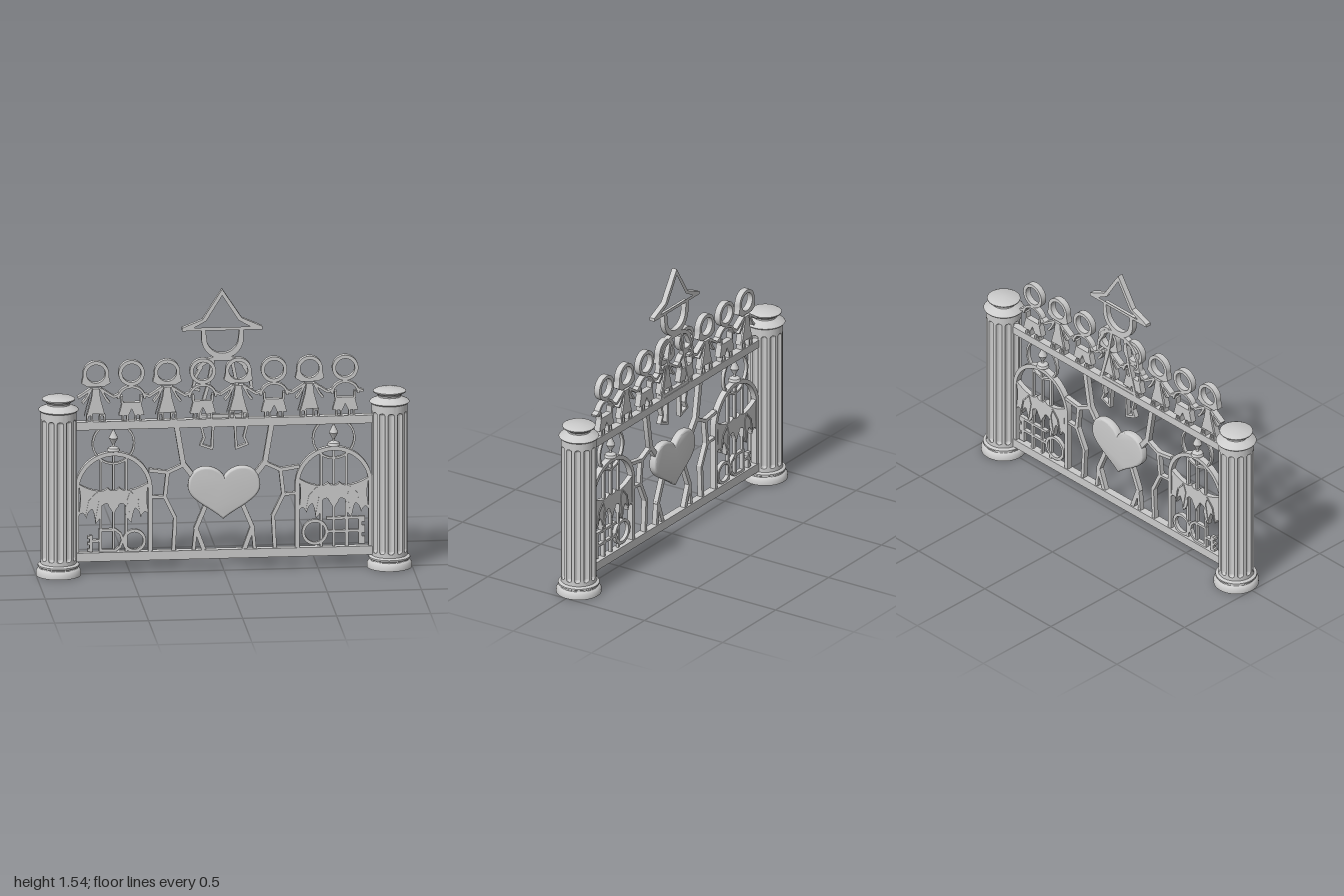
import * as THREE from 'three';
import { toCreasedNormals } from 'three/addons/utils/BufferGeometryUtils.js';

// Flat ironwork is laid out in hundredths of a unit
const MAT = new THREE.MeshStandardMaterial({ color: 0xcccccc });
const U = 0.01;
const vecs = (pts) => pts.map(([x, y]) => new THREE.Vector2(x * U, y * U));
const mirrorX = (pts) => pts.map(([x, y]) => [-x, y]);
const arc = (cx, cy, rx, ry, a0, a1, n = 32) =>
  Array.from({ length: n + 1 }, (_, i) => {
    const a = ((a0 + ((a1 - a0) * i) / n) * Math.PI) / 180;
    return [cx + rx * Math.cos(a), cy + ry * Math.sin(a)];
  });

function addMesh(parent, name, geo) {
  const mesh = new THREE.Mesh(geo, MAT);
  mesh.name = name;
  parent.add(mesh);
  return mesh;
}

// Cut-out plate between z0 and z1
function plate(parent, name, outer, holes = [], z0 = -0.019, z1 = 0.015) {
  const shape = new THREE.Shape(vecs(outer));
  holes.forEach((h) => shape.holes.push(new THREE.Path(vecs(h))));
  const geo = new THREE.ExtrudeGeometry(shape, { depth: z1 - z0, bevelEnabled: false });
  geo.translate(0, 0, z0);
  return addMesh(parent, name, toCreasedNormals(geo, 0.5));
}

// Mitred offset of a polyline
function offset(pts, d, closed) {
  const n = pts.length;
  return pts.map((p, i) => {
    const a = closed ? pts[(i + n - 1) % n] : pts[Math.max(i - 1, 0)];
    const b = closed ? pts[(i + 1) % n] : pts[Math.min(i + 1, n - 1)];
    const normal = (s, e) => new THREE.Vector2(s[1] - e[1], e[0] - s[0]).normalize();
    const n1 = normal(a, p), n2 = normal(p, b);
    const m = n1.clone().add(n2).normalize();
    const k = d / Math.max(0.5, m.dot(n1.lengthSq() ? n1 : n2));
    return [p[0] + m.x * k, p[1] + m.y * k];
  });
}

// Bar of width w along an open path, or a closed frame
function bar(parent, name, pts, w, z0, z1) {
  return plate(parent, name, [...offset(pts, w / 2), ...offset(pts, -w / 2).reverse()], [], z0, z1);
}
function frame(parent, name, pts, w, z0, z1) {
  return plate(parent, name, offset(pts, -w / 2, true), [offset(pts, w / 2, true)], z0, z1);
}
function ring(parent, name, cx, cy, r, w, z0, z1) {
  return frame(parent, name, arc(cx, cy, r, r, 0, 360, 40).slice(0, -1), w, z0, z1);
}

const lathe = (pts, n = 48) =>
  toCreasedNormals(new THREE.LatheGeometry(pts.map(([r, y]) => new THREE.Vector2(r, y)), n), 0.7);

function column(x) {
  const g = new THREE.Group();
  g.name = 'column';
  g.position.x = x;
  addMesh(g, 'columnBase', lathe([[0, 0], [0.12, 0], [0.12, 0.022], [0.112, 0.034], [0.104, 0.04],
    [0.104, 0.046], [0.11, 0.05], [0.11, 0.058], [0.098, 0.066], [0.09, 0.066]]));
  addMesh(g, 'columnCapital', lathe([[0.09, 0.893], [0.1, 0.897], [0.107, 0.904], [0.1, 0.912], [0.075, 0.923],
    [0.062, 0.932], [0.062, 0.94], [0.075, 0.95], [0.086, 0.956], [0.088, 0.963], [0.075, 0.97], [0, 0.972]]));
  // Shaft with twelve round-ended flutes
  const geo = new THREE.CylinderGeometry(0.095, 0.095, 1, 144, 24, true);
  const p = geo.attributes.position;
  const half = 0.016, y0 = 0.085, y1 = 0.855, step = Math.PI / 6;
  const rows = [0.06, 0.08];
  for (let i = 0; i <= 9; i++) rows.push(y0 + 0.02 * (i / 9) ** 2);
  rows.push(0.47);
  for (let i = 9; i >= 0; i--) rows.push(y1 - 0.02 * (i / 9) ** 2);
  rows.push(0.87, 0.9);
  for (let i = 0; i < p.count; i++) {
    const y = rows[Math.round((p.getY(i) + 0.5) * 24)];
    const a = Math.atan2(p.getX(i), p.getZ(i));
    const s = (a - step / 2 - step * Math.round((a - step / 2) / step)) * 0.095;
    const end = Math.max(0, y0 + half - y, y - (y1 - half));
    const r = 0.095 - 0.85 * Math.sqrt(Math.max(0, half * half - s * s - end * end));
    p.setXYZ(i, r * Math.sin(a), y, r * Math.cos(a));
  }
  geo.computeVertexNormals();
  addMesh(g, 'flutedShaft', toCreasedNormals(geo, 0.6)).rotation.y = step / 2;
  return g;
}

// Paper-doll child: even ones wear a dress, odd ones shorts
function child(x, isGirl) {
  const g = new THREE.Group();
  g.name = isGirl ? 'girlFigure' : 'boyFigure';
  g.position.x = x;
  const head = [0, 109.5];
  if (isGirl) {
    plate(g, 'headWithHair', [...arc(...head, 6.9, 6.9, -10, 190), [-7.7, 104.5], [-4.5, 102.6], [4.5, 102.6], [7.7, 104.5]],
      [arc(...head, 5, 5, 0, 360).slice(1)]);
    frame(g, 'dress', [[-2.2, 102], [2.2, 102], [3, 96], [5.4, 87], [-5.4, 87], [-3, 96]], 1.2);
  } else {
    ring(g, 'head', ...head, 6, 1.9);
    plate(g, 'shorts', [[-5, 93.5], [5, 93.5], [6.8, 86.5], [1.6, 86.5], [0, 90], [-1.6, 86.5], [-6.8, 86.5]]);
    bar(g, 'shoulders', arc(0, 95.5, 7, 6.5, 0, 180, 20), 1.3);
  }
  for (const s of [-1, 1]) {
    const flip = (pts) => (s < 0 ? mirrorX(pts) : pts);
    bar(g, 'arm', flip(isGirl ? [[2.3, 101.5], [5.2, 96], [7.2, 93.5]] : [[5, 93], [5.2, 97]]), 1.2);
    bar(g, 'linkedHand', flip(isGirl ? [[2.8, 101], [6.5, 98.5], [9.6, 96.5]] : [[6, 98], [9.6, 96.5]]), 1.3);
    frame(g, 'leg', [[s * 3.4 - 1.3, 83.2], [s * 3.4 + 1.3, 83.2], [s * 3.4 + 1.1, 87], [s * 3.4 - 1.1, 87]], 0.9);
  }
  return g;
}

// Arched cage with ring handle, finial, bars and bat
function cage(x) {
  const g = new THREE.Group();
  g.name = 'cage';
  g.position.x = x;
  bar(g, 'arch', [[19.5, 11], ...arc(0, 46, 19.5, 19.5, 0, 180), [-19.5, 11]], 2.2);
  ring(g, 'cageRing', 0, 71, 11, 1.1, -0.012, 0.008);
  for (const bx of [-6.7, 0, 6.7]) bar(g, 'cageBar', [[bx, 11], [bx, bx ? 64 : 66]], 1.2, -0.01, 0.006);
  addMesh(g, 'finial', lathe([[0, 0.66], [0.035, 0.67], [0.03, 0.685], [0.008, 0.695], [0.006, 0.705],
    [0.025, 0.74], [0.004, 0.785], [0.004, 0.8]], 16)).position.z = -0.002;
  // Half of the bat: [control x, control y, end x, end y], centre top to tail
  const path = new THREE.Path().moveTo(0, 45.5);
  [[2, 45, 3, 47], [5, 44.5, 9, 45.5], [13, 46, 18.8, 49.5], [16.5, 42, 18.8, 31.5], [16.5, 36, 14.5, 30.5],
    [13.5, 35, 11.5, 35.5], [10, 33, 9.5, 27.5], [5, 32, 6.5, 37], [3, 40, 2.5, 36.5], [1, 35, 0, 31.5]]
    .forEach((c) => path.quadraticCurveTo(...c));
  const side = path.getPoints(6).map((v) => [v.x, v.y]);
  plate(g, 'bat', [...side, ...mirrorX(side).slice(1, -1).reverse()], [], -0.016, 0.012);
  for (const s of [-1, 1]) {
    bar(g, 'wingRib', [[s * 9, 44.5], [s * 7.5, 40], [s * 9.3, 30]], 0.7, -0.02, 0.016);
    bar(g, 'wingRib', [[s * 9, 44.5], [s * 13, 40], [s * 14.5, 32.5]], 0.7, -0.021, 0.017);
  }
  return g;
}

// Body of the heart, with a softened rim
function heart(parent) {
  const s = new THREE.Shape().moveTo(0, 0.49);
  s.bezierCurveTo(0.03, 0.58, 0.18, 0.59, 0.18, 0.465);
  s.bezierCurveTo(0.18, 0.4, 0.07, 0.36, -0.005, 0.3);
  s.bezierCurveTo(-0.07, 0.36, -0.18, 0.4, -0.18, 0.465);
  s.bezierCurveTo(-0.18, 0.59, -0.03, 0.58, 0, 0.49);
  const geo = new THREE.ExtrudeGeometry(s, { depth: 0.02, bevelThickness: 0.012, bevelSize: 0.012, bevelSegments: 4, curveSegments: 24 });
  geo.translate(0, 0, -0.012);
  addMesh(parent, 'heart', toCreasedNormals(geo, 0.6));
}

export function createModel() {
  const root = new THREE.Group();
  root.name = 'ornamentalGate';
  root.add(column(-0.88), column(0.88));

  // Rails
  for (const [name, y, h] of [['bottomRail', 0.094, 0.048], ['topRail', 0.812, 0.044]]) {
    addMesh(root, name, new THREE.BoxGeometry(1.6, h, 0.042)).position.set(0, y, -0.002);
  }

  // Row of children on the top rail
  for (let i = 0; i < 8; i++) root.add(child(-0.682 + i * 0.1894, i % 2 === 0));

  // Large figure in a pointed hat behind the children
  const figure = new THREE.Group();
  figure.name = 'hattedFigure';
  root.add(figure);
  const Z = [-0.024, 0.006];
  plate(figure, 'pointedHat', [[-1, 154], [9.5, 138], [20.3, 133.2], [20.3, 131.5], [-22.3, 131.5], [-22.3, 133.2], [-11.5, 137.5]],
    [[[-1, 150.5], [7.6, 136.8], [14, 133.2], [-16, 133.2], [-9.5, 136.8]]], ...Z);
  plate(figure, 'face', [[-12, 132], ...arc(-0.8, 127, 11.2, 11, 180, 360), [10.4, 132]],
    [[[-9.8, 131.5], ...arc(-0.8, 127, 8.4, 8, 180, 360), [8.2, 131.5]]], ...Z);
  bar(figure, 'shoulders', arc(-0.8, 107, 14, 9.5, 20, 160), 2, ...Z);
  plate(figure, 'neck', [[-3.5, 119], [2, 119], [3.5, 115], [-5, 115]], [], ...Z);
  for (const s of [-1, 1]) {
    bar(figure, 'sleeve', [[11, 112], [14.5, 106], [15.5, 100], [12, 99]].map(([x, y]) => [s * x - 0.8, y]), 1.6, ...Z);
    bar(figure, 'robeSide', [[5, 115], [8, 100], [13, 83]].map(([x, y]) => [s * x - 0.8, y]), 1.8, -0.023, 0.005);
  }
  bar(figure, 'robeHem', [[-14.5, 84.5], [13, 84.5]], 1.8, -0.022, 0.004);

  // Boots, branches and roots around the heart
  for (const s of [-1, 1]) {
    const strip = (name, pts, w) => bar(root, name, s < 0 ? mirrorX(pts) : pts, w, -0.016, 0.012);
    strip('boot', [[5.8, 80], [6.5, 67], [12.3, 69.2], [10.6, 73], [12.3, 80]], 1.3);
    strip('trunk', [[25.3, 80], [21.8, 59], [15, 50]], 2.8);
    strip('branch', [[21.5, 58.5], [30, 54.5], [40, 56]], 1.9);
    strip('stem', [[30, 54.5], [31.5, 41], [26, 29.5], [27, 11]], 2);
    strip('twig', [[31, 41], [39, 41.5]], 1.5);
    strip('root', [[9, 38], [15, 23.5], [10.5, 11]], 2.4);
    strip('rootlet', [[15, 24.5], [16.3, 11]], 1.8);
  }
  heart(root);

  // Cages, each with a key
  const left = cage(0.583), right = cage(-0.588);
  root.add(left, right);
  const K = [-0.013, 0.009];
  ring(right, 'keyBow', 11, 17.6, 5.5, 1.6, ...K);
  frame(right, 'keyLoop', [[-7, 12.5], [1, 12.5], [3.5, 14.5], [4.8, 18], [3.8, 21.5], [1, 23.8], [-7, 23.8]], 1.4, ...K);
  bar(right, 'keyStem', [[-7, 18], [-12, 18]], 1.4, ...K);
  bar(right, 'keyBit', [[-12, 12], [-12, 21]], 1.6, ...K);
  for (const y of [13, 16.5, 20]) bar(right, 'keyTooth', [[-14, y], [-12, y]], 1.4, ...K);
  ring(left, 'keyBow', -10, 19.8, 6.2, 1.6, ...K);
  for (const y of [27.2, 20]) bar(left, 'keyStem', [[-4, y], [14, y]], 1.4, ...K);
  bar(left, 'keyPost', [[7, 27], [7, 11]], 1.5, ...K);
  plate(left, 'keyBit', [[13, 13], [16.5, 13], [16.5, 17], [15, 17], [15, 19], [16.5, 19], [16.5, 23], [15, 23], [15, 25], [16.5, 25], [16.5, 28], [13, 28]], [], ...K);
  return root;
}
